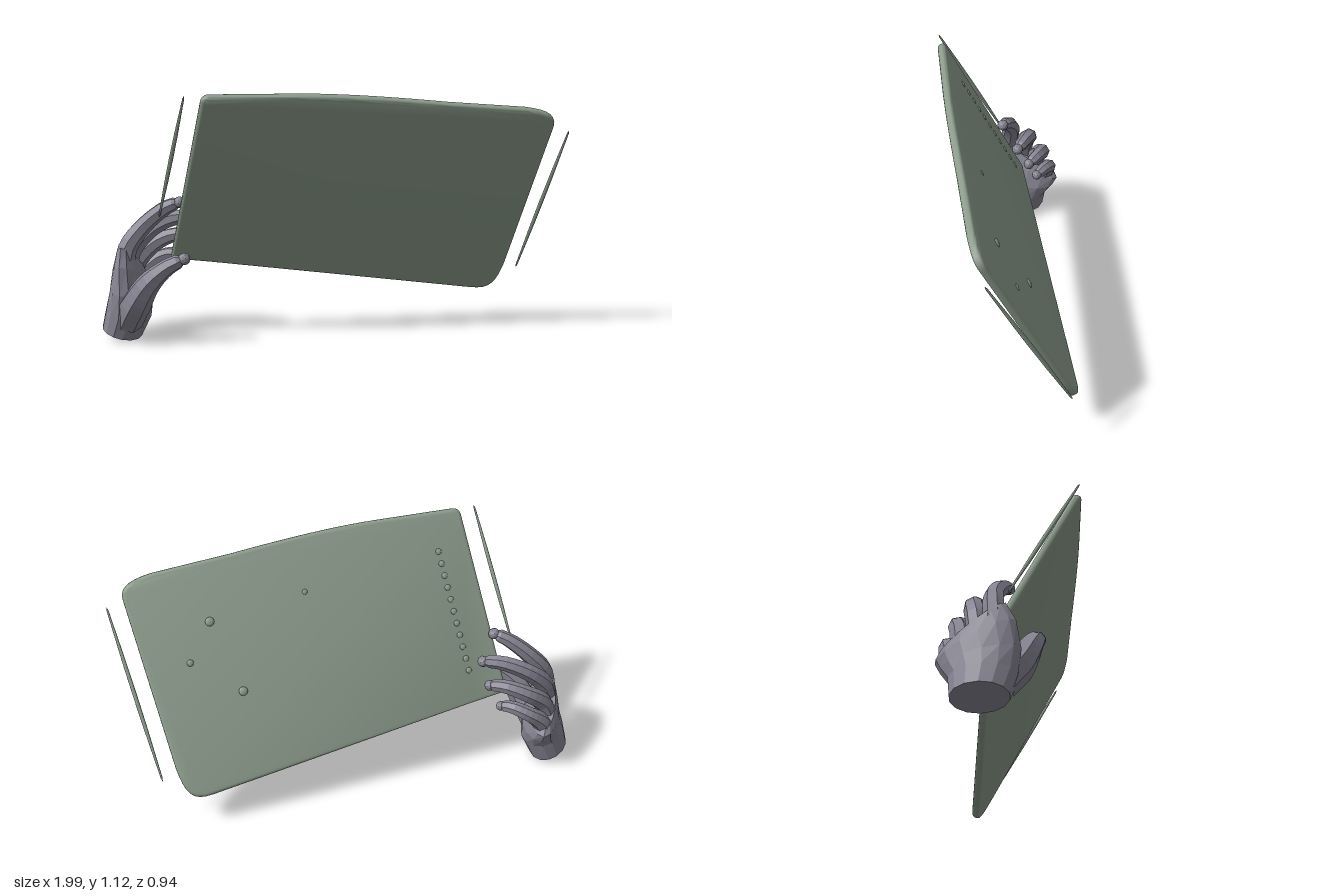
import * as THREE from 'three';
import { toCreasedNormals } from 'three/addons/utils/BufferGeometryUtils.js';

const V = (x, y, z) => new THREE.Vector3(x, y, z);
const green = new THREE.MeshStandardMaterial({ color: 0x8c9c8c });
const skin = new THREE.MeshStandardMaterial({ color: 0x888694, flatShading: true });

// the tilted plane through the middle of the panel
const planeZ = (x, y) => -0.314 - 0.361 * x + 0.5225 * y;
const normal = V(0.305, -0.441, 0.844).normalize();
const onPanel = (x, y, d) => V(x, y, planeZ(x, y)).addScaledVector(normal, d);

function mesh(name, geometry, material) {
  const m = new THREE.Mesh(geometry, material);
  m.name = name;
  return m;
}

// move every vertex of a geometry by a rule
function warp(geometry, rule) {
  const p = geometry.attributes.position;
  for (let i = 0; i < p.count; i++) {
    const v = rule(V(p.getX(i), p.getY(i), p.getZ(i)), i);
    p.setXYZ(i, v.x, v.y, v.z);
  }
  geometry.computeVertexNormals();
  return geometry;
}

// tapering faceted tube: radii are spread evenly along the path
function finger(name, points, radii) {
  const curve = new THREE.CatmullRomCurve3(points.map((p) => V(...p)));
  const rings = 12, sides = 7;
  const geo = warp(new THREE.TubeGeometry(curve, rings, 1, sides), (v, i) => {
    const t = Math.floor(i / (sides + 1)) / rings;
    const c = curve.getPointAt(t);
    const f = t * (radii.length - 1), k = Math.min(Math.floor(f), radii.length - 2);
    const tip = t > 0.99 ? 0.35 : 1;
    const r = THREE.MathUtils.lerp(radii[k], radii[k + 1], f - k) * tip;
    return v.sub(c).multiplyScalar(r).add(c);
  });
  const group = new THREE.Group();
  group.name = name;
  // rounded end
  const end = mesh(name + 'Tip', new THREE.IcosahedronGeometry(radii.at(-1) * 0.95, 1), skin);
  end.position.copy(curve.getPointAt(0.985));
  group.add(mesh(name + 'Body', geo, skin), end);
  return group;
}

function createPanel() {
  const panel = new THREE.Group();
  panel.name = 'panel';
  const s = new THREE.Shape();
  s.moveTo(-0.705, 0.37);
  s.lineTo(-0.55, 0.347);
  s.lineTo(0.55, 0.165);
  s.bezierCurveTo(0.64, 0.15, 0.665, 0.19, 0.705, 0.29);
  s.lineTo(0.925, 0.95);
  s.bezierCurveTo(0.945, 1.0, 0.92, 1.025, 0.82, 1.043);
  s.lineTo(0.5, 1.073);
  s.quadraticCurveTo(0.12, 1.12, -0.1, 1.122);
  s.lineTo(-0.43, 1.125);
  s.quadraticCurveTo(-0.465, 1.127, -0.475, 1.09);
  s.closePath();
  const geo = new THREE.ExtrudeGeometry(s, {
    depth: 0.012, curveSegments: 8, bevelThickness: 0.012, bevelSize: 0.014,
    bevelOffset: -0.014, bevelSegments: 3,
  });
  geo.translate(0, 0, -0.006);
  warp(geo, (v) => onPanel(v.x, v.y, v.z));
  panel.add(mesh('slab', toCreasedNormals(geo, 0.7), green));

  // small bumps on the back: a column and a few strays
  const spots = [[0.58, 0.83, 0.02], [0.436, 0.545, 0.02], [0.656, 0.685, 0.015], [0.19, 0.888, 0.012]];
  for (let i = 0; i < 11; i++) {
    const t = i / 10;
    spots.push([-0.377 - 0.153 * t, 0.966 - 0.486 * t, 0.014]);
  }
  for (const [x, y, r] of spots) {
    const bump = mesh('backBump', new THREE.SphereGeometry(r, 10, 6), green);
    bump.scale.z = 0.4;
    bump.quaternion.setFromUnitVectors(V(0, 0, 1), normal);
    bump.position.copy(onPanel(x, y, -0.018));
    panel.add(bump);
  }
  return panel;
}

// slim spindle floating beside each short edge
function createRod(name, a, b) {
  const profile = [[0, -0.5], [0.004, -0.48], [0.008, -0.2], [0.009, 0], [0.008, 0.2], [0.004, 0.48], [0, 0.5]];
  const len = a.distanceTo(b);
  const rod = mesh(name, new THREE.LatheGeometry(profile.map(([r, y]) => new THREE.Vector2(r, y * len)), 10), green);
  rod.position.copy(a).lerp(b, 0.5);
  rod.quaternion.setFromUnitVectors(V(0, 1, 0), b.clone().sub(a).normalize());
  return rod;
}

function createHand() {
  const hand = new THREE.Group();
  hand.name = 'hand';

  // palm: rings of centre x, y, z, half thickness, half width, y slope in x, y slope in z
  const rings = [
    [-0.918, 0.04, 0.19, 0.082, 0.12, -0.35, 0],
    [-0.885, 0.13, 0.19, 0.095, 0.14, -0.25, 0],
    [-0.875, 0.21, 0.175, 0.085, 0.165, -0.1, 0.15],
    [-0.88, 0.29, 0.155, 0.066, 0.165, 0, 0.4],
    [-0.885, 0.345, 0.145, 0.045, 0.135, 0, 0.65],
  ];
  const palm = warp(new THREE.CylinderGeometry(1, 1, 1, 14, rings.length - 1), (v) => {
    const [x, y, z, hx, hz, sx, sz] = rings[Math.round((v.y + 0.5) * (rings.length - 1))];
    const dx = v.x * hx, dz = v.z * hz;
    return V(x + dx, y + dx * sx + dz * sz, z + dz);
  });
  hand.add(mesh('palm', palm, skin));

  // fingers curl behind the panel, thumb stays in front
  hand.add(
    finger('indexFinger', [[-0.885, 0.36, 0.235], [-0.87, 0.43, 0.225], [-0.80, 0.525, 0.20], [-0.70, 0.605, 0.195], [-0.635, 0.632, 0.20]],
      [0.045, 0.043, 0.038, 0.034, 0.027]),
    finger('middleFinger', [[-0.89, 0.33, 0.17], [-0.875, 0.40, 0.155], [-0.79, 0.495, 0.11], [-0.67, 0.545, 0.10], [-0.59, 0.535, 0.118]],
      [0.045, 0.043, 0.038, 0.034, 0.027]),
    finger('ringFinger', [[-0.89, 0.29, 0.105], [-0.87, 0.345, 0.09], [-0.79, 0.42, 0.045], [-0.69, 0.455, 0.045], [-0.625, 0.44, 0.072]],
      [0.045, 0.042, 0.037, 0.032, 0.026]),
    finger('littleFinger', [[-0.885, 0.23, 0.06], [-0.86, 0.28, 0.04], [-0.80, 0.335, 0.012], [-0.73, 0.36, 0.022], [-0.68, 0.35, 0.045]],
      [0.045, 0.04, 0.034, 0.03, 0.024]),
    finger('thumb', [[-0.87, 0.10, 0.255], [-0.81, 0.20, 0.305], [-0.745, 0.295, 0.325], [-0.66, 0.37, 0.32], [-0.585, 0.408, 0.308]],
      [0.065, 0.068, 0.055, 0.04, 0.028]),
  );
  return hand;
}

export function createModel() {
  const model = new THREE.Group();
  model.name = 'handHoldingPanel';
  model.add(
    createPanel(),
    createRod('rightRod', V(-0.725, 0.565, 0.228), V(-0.53, 1.125, 0.468)),
    createRod('leftRod', V(0.755, 0.255, -0.468), V(0.995, 0.937, -0.172)),
    createHand(),
  );
  return model;
}
